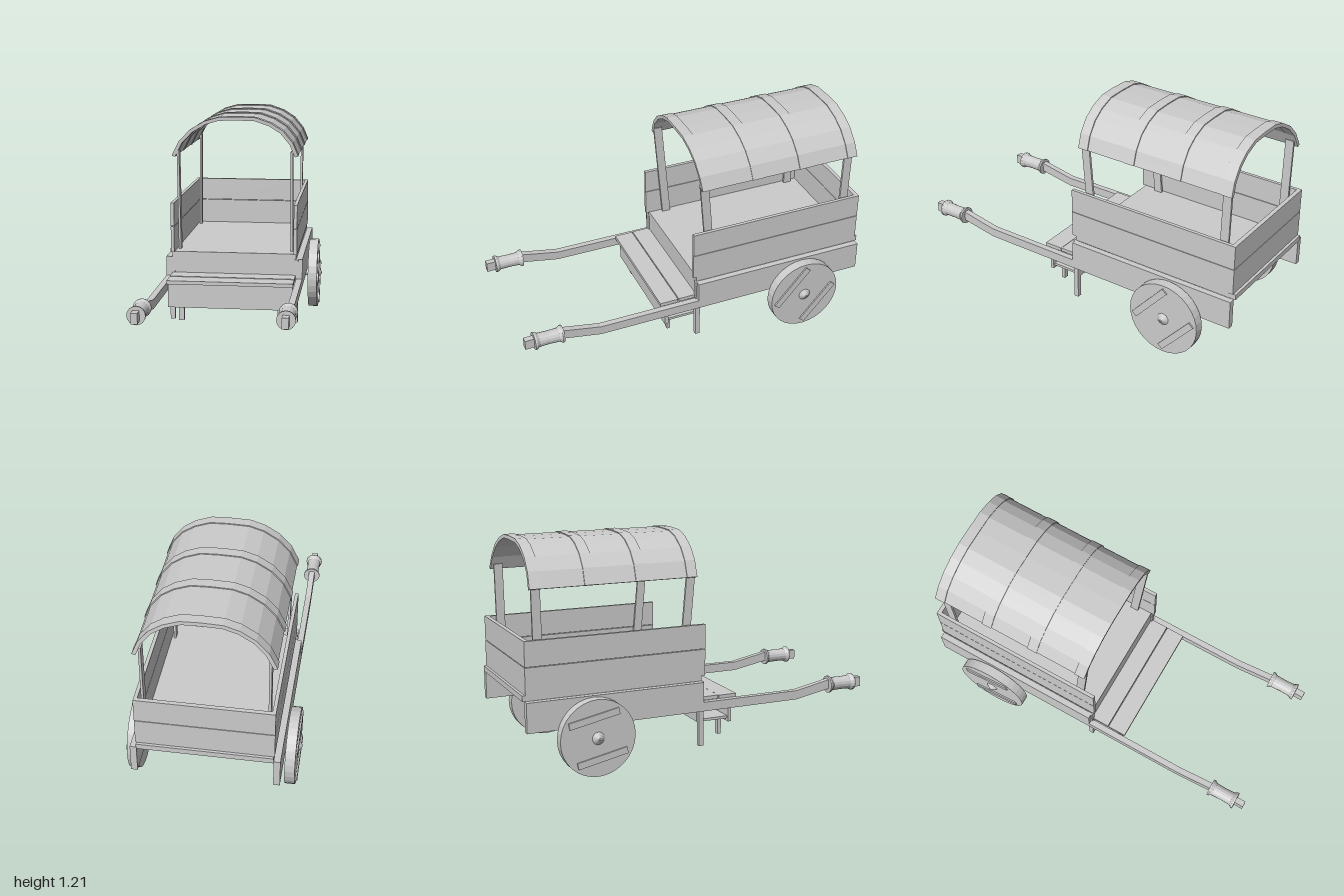
import * as THREE from 'three';

const mat = new THREE.MeshStandardMaterial({ color: 0xcccccc, flatShading: true });
const smooth = new THREE.MeshStandardMaterial({ color: 0xcccccc });

export function createModel() {
  const root = new THREE.Group();
  root.name = 'coveredHandcart';

  const add = (name, geo, parent = root, material = mat) => {
    const mesh = new THREE.Mesh(geo, material);
    mesh.name = name;
    parent.add(mesh);
    return mesh;
  };
  // Box given by its minimum and maximum on each axis
  const box = (name, x0, x1, y0, y1, z0, z1, parent = root) => {
    const mesh = add(name, new THREE.BoxGeometry(x1 - x0, y1 - y0, z1 - z0), parent);
    mesh.position.set((x0 + x1) / 2, (y0 + y1) / 2, (z0 + z1) / 2);
    return mesh;
  };
  // Span on the +x side (s = 1) or mirrored to the -x side (s = -1)
  const sideBox = (name, s, x0, x1, ...rest) =>
    s > 0 ? box(name, x0, x1, ...rest) : box(name, -x1, -x0, ...rest);
  const toShape = (pts) => new THREE.Shape(pts.map((p) => new THREE.Vector2(p[0], p[1])));

  // Bed and back wall, made of two planks
  box('bedFloor', -0.35, 0.35, 0.42, 0.45, -1, 0);
  box('backWallLower', -0.336, 0.336, 0.45, 0.594, -0.985, -0.962);
  box('backWallUpper', -0.336, 0.336, 0.597, 0.73, -0.985, -0.962);

  // Front step
  box('riserBoard', -0.335, 0.335, 0.19, 0.42, -0.02, 0);
  box('stepPlankRear', -0.348, 0.348, 0.31, 0.33, 0, 0.103);
  box('stepPlankFront', -0.348, 0.348, 0.308, 0.328, 0.107, 0.212);
  box('stepFrontBoard', -0.345, 0.345, 0.172, 0.308, 0.165, 0.185);
  box('stepBottom', -0.335, 0.335, 0.188, 0.202, 0, 0.166);

  // Side rail that runs forward into a bent pull shaft, as (z, y)
  const shaftProfile = toShape([
    [-0.99, 0.26], [0.57, 0.26], [0.78, 0.298], [0.99, 0.29], [0.99, 0.345],
    [0.78, 0.35], [0.57, 0.31], [0, 0.31], [0, 0.42], [-0.99, 0.42],
  ]);
  // Grip flaring at both ends, as (radius, length)
  const gripProfile = [
    [0, -0.08], [0.048, -0.08], [0.048, -0.07], [0.038, -0.055],
    [0.036, 0], [0.038, 0.055], [0.048, 0.07], [0.048, 0.08], [0, 0.08],
  ].map((p) => new THREE.Vector2(p[0], p[1]));

  for (const s of [1, -1]) {
    const shaft = add('railAndShaft', new THREE.ExtrudeGeometry(shaftProfile, { depth: 0.034, bevelEnabled: false })
      .rotateY(-Math.PI / 2));
    shaft.position.x = s * 0.368 + 0.017;
    const grip = add('shaftGrip', new THREE.LatheGeometry(gripProfile, 16).rotateX(Math.PI / 2));
    grip.position.set(s * 0.368, 0.32, 0.86);

    // Side walls and supports
    sideBox('sideWallLower', s, 0.336, 0.355, 0.45, 0.594, -0.985, 0.02);
    sideBox('sideWallUpper', s, 0.336, 0.355, 0.597, 0.73, -0.985, 0.02);
    sideBox('restLeg', s, 0.335, 0.362, 0.06, 0.42, -0.018, 0.008);
    sideBox('stepLeg', s, 0.26, 0.29, 0.09, 0.19, 0.13, 0.15);

    // Slightly leaning canopy posts, as (z, y)
    for (const [zb, zt] of [[-0.1, -0.05], [-0.9, -0.91]]) {
      const profile = toShape([
        [zb - 0.024, 0.45], [zb + 0.024, 0.45], [zt + 0.024, 1.02], [zt - 0.024, 1.02],
      ]);
      const post = add('canopyPost', new THREE.ExtrudeGeometry(profile, { depth: 0.013, bevelEnabled: false })
        .rotateY(-Math.PI / 2));
      post.position.x = s * 0.319 + 0.0065;
    }

    // Solid wheel with two battens and a pointed hub
    const wheel = new THREE.Group();
    wheel.name = s > 0 ? 'leftWheel' : 'rightWheel';
    wheel.position.set(s * 0.418, 0.208, -0.63);
    wheel.rotation.y = s > 0 ? 0 : Math.PI;
    root.add(wheel);
    add('wheelDisc', new THREE.CylinderGeometry(0.206, 0.206, 0.054, 32).rotateZ(-Math.PI / 2), wheel);
    add('hubPoint', new THREE.CylinderGeometry(0.006, 0.037, 0.022, 14).rotateZ(-Math.PI / 2), wheel)
      .position.x = 0.036;
    const battens = new THREE.Group();
    battens.name = 'wheelBattens';
    battens.rotation.x = s > 0 ? 0.85 : 0.2;
    wheel.add(battens);
    for (const k of [1, -1]) {
      box('batten', 0.026, 0.035, k * 0.11 - 0.018, k * 0.11 + 0.018, -0.14, 0.14, battens);
    }
    // Axle collar
    add('axleCollar', new THREE.CylinderGeometry(0.032, 0.032, 0.012, 14).rotateZ(Math.PI / 2))
      .position.set(s * 0.358, 0.21, -0.63);
  }

  // Axle and the beam above it
  add('axle', new THREE.CylinderGeometry(0.019, 0.019, 0.79, 14).rotateZ(Math.PI / 2), root, smooth)
    .position.set(0, 0.208, -0.63);
  box('axleBeam', -0.352, 0.352, 0.26, 0.295, -0.65, -0.61);

  // Arched canopy: cover sheet and four hoops
  const arc = [
    [-0.35, 0.988], [-0.308, 1.07], [-0.246, 1.134], [-0.168, 1.18], [-0.09, 1.203],
    [0.02, 1.206], [0.116, 1.203], [0.2, 1.174], [0.266, 1.132], [0.32, 1.066], [0.35, 0.994],
  ];
  const archGeometry = (grow, thick, zBack, zFront) => {
    const offset = (d) => arc.map(([x, y]) => {
      const dx = x, dy = y - 0.88, len = Math.hypot(dx, dy);
      return [x + (dx / len) * d, y + (dy / len) * d];
    });
    const shape = toShape([...offset(grow), ...offset(grow - thick).reverse()]);
    const geo = new THREE.ExtrudeGeometry(shape, { depth: zFront - zBack, bevelEnabled: false });
    geo.translate(0, 0, zBack);
    // Lean forward a little toward the crown
    const p = geo.attributes.position;
    for (let i = 0; i < p.count; i++) p.setZ(i, p.getZ(i) + (p.getY(i) - 1.1) * 0.07);
    geo.computeVertexNormals();
    return geo;
  };
  add('canopyCover', archGeometry(0, 0.012, -0.92, -0.04));
  for (const z of [-0.05, -0.34, -0.62, -0.912]) {
    add('canopyHoop', archGeometry(0.005, 0.02, z - 0.029, z + 0.029));
  }
  return root;
}
